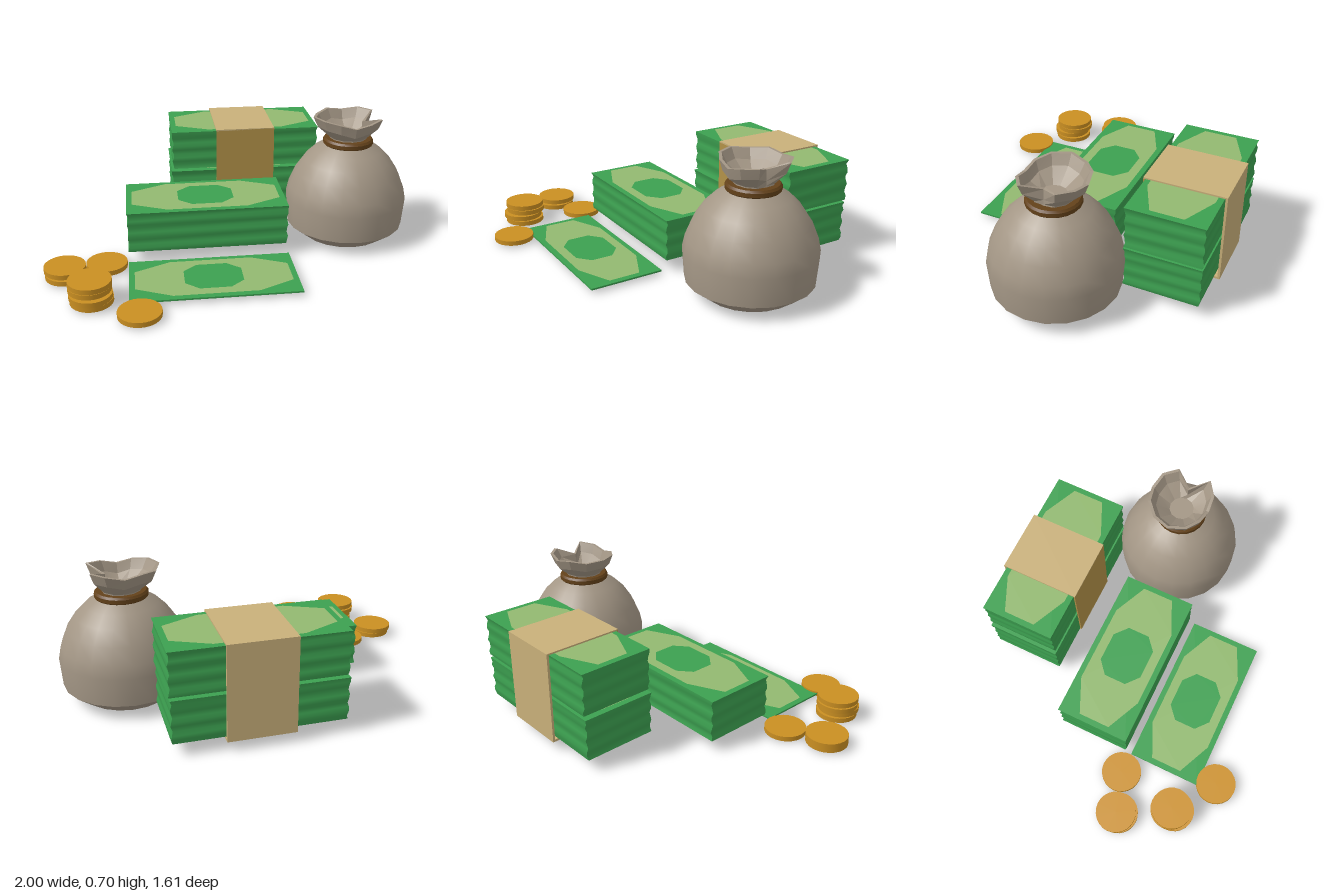
import * as THREE from 'three';
import { toCreasedNormals } from 'three/addons/utils/BufferGeometryUtils.js';

const mat = (name, color, side = THREE.FrontSide) => {
  const m = new THREE.MeshStandardMaterial({ color, side });
  m.name = name;
  return m;
};

// Skin a list of closed rings (each a list of [x, y, z]), ordered bottom to top
function loft(rings, crease, capBottom, capTop) {
  const n = rings[0].length, pos = rings.flat(2), idx = [];
  for (let r = 0; r < rings.length - 1; r++) {
    for (let i = 0; i < n; i++) {
      const a = r * n + i, b = r * n + (i + 1) % n;
      idx.push(a, a + n, b, b, a + n, b + n);
    }
  }
  const last = (rings.length - 1) * n;
  for (let i = 1; i < n - 1; i++) {
    if (capBottom) idx.push(0, i, i + 1);
    if (capTop) idx.push(last, last + i + 1, last + i);
  }
  const g = new THREE.BufferGeometry();
  g.setAttribute('position', new THREE.Float32BufferAttribute(pos, 3));
  g.setIndex(idx);
  return toCreasedNormals(g, crease);
}

// Flat plate facing up: a rectangle with sloped corners
function octagonPlate(hx, hz, ix, iz) {
  const pts = [[hx, iz], [ix, hz], [-ix, hz], [-hx, iz], [-hx, -iz], [-ix, -hz], [ix, -hz], [hx, -iz]];
  return new THREE.ShapeGeometry(new THREE.Shape(pts.map(p => new THREE.Vector2(...p)))).rotateX(-Math.PI / 2);
}

export function createModel() {
  const model = new THREE.Group();
  const green = mat('note green', 0x3ca050);
  const pale = mat('pale note green', 0x92b970);
  const tan = mat('band tan', 0xc9b07a);
  const ochre = mat('band front ochre', 0xb29148);
  const gold = mat('coin gold', 0xca8f22);
  const cloth = mat('sack cloth', 0xa39685, THREE.DoubleSide);
  const brown = mat('tie brown', 0x64421a);

  const add = (parent, name, geometry, material, x = 0, y = 0, z = 0) => {
    const m = new THREE.Mesh(geometry, material);
    m.name = name;
    m.position.set(x, y, z);
    parent.add(m);
    return m;
  };

  // Note or pile of notes: rippled sides, pale panel and centre patch on top
  function notes(name, x, y, z, height, levels, seed) {
    const g = new THREE.Group();
    g.name = name;
    g.position.set(x, y, z);
    const rings = [];
    for (let i = 0; i <= levels; i++) {
      const w = k => (i === levels || levels === 1 ? 0 : 0.005 * (1 + Math.sin(i * 1.9 + seed + k * 1.7)));
      const [r, f, l, b] = [0.43 - w(0), 0.2 - w(1), -0.43 + w(2), -0.2 + w(3)], h = height * i / levels;
      rings.push([[r, h, b], [r, h, f], [l, h, f], [l, h, b]]);
    }
    add(g, 'paper', loft(rings, 0.9, true, true), green);
    add(g, 'palePanel', octagonPlate(0.4, 0.17, 0.215, 0.085), pale, 0, height + 0.002);
    add(g, 'centrePatch', octagonPlate(0.15, 0.12, 0.08, 0.06), green, 0, height + 0.004);
    model.add(g);
  }
  notes('looseNote', -0.14, 0.021, 0.4, 0.009, 1, 0);
  notes('frontStack', -0.14, 0.07, -0.03, 0.225, 10, 1);
  notes('lowerBackStack', 0.128, 0.07, -0.587, 0.225, 10, 2.5);
  notes('upperBackStack', 0.134, 0.31, -0.59, 0.225, 10, 4);

  // Paper band around the two back stacks
  const band = new THREE.Group();
  band.name = 'paperBand';
  model.add(band);
  const slab = (name, h, d, y, z, m) => add(band, name, new THREE.BoxGeometry(0.34, h, d), m, 0.132, y, z);
  slab('bandTop', 0.008, 0.425, 0.541, -0.5925, tan);
  slab('bandBottom', 0.012, 0.425, 0.061, -0.5925, tan);
  slab('bandBack', 0.49, 0.012, 0.3, -0.799, tan);
  slab('bandFront', 0.482, 0.008, 0.3, -0.384, ochre);

  // Coins: piles given as [x, z] of each coin from the bottom up
  const coin = new THREE.CylinderGeometry(0.108, 0.108, 0.026, 24);
  const piles = {
    pairCoin: [[-0.89, 0.275], [-0.895, 0.265]],
    singleCoin: [[-0.683, 0.195]],
    stackCoin: [[-0.75, 0.535], [-0.753, 0.545], [-0.757, 0.525], [-0.755, 0.53]],
    frontCoin: [[-0.52, 0.692]],
  };
  for (const [name, coins] of Object.entries(piles)) {
    coins.forEach(([x, z], i) => add(model, name, coin, gold, x, 0.026 + i * 0.031, z));
  }

  // Sack: round body, tie and a crumpled open mouth
  const sack = new THREE.Group();
  sack.name = 'sack';
  sack.position.set(0.662, 0, -0.083);
  model.add(sack);
  const lathe = (pts, crease) => toCreasedNormals(
    new THREE.LatheGeometry(pts.map(p => new THREE.Vector2(...p)), 20), crease);
  add(sack, 'sackBody', lathe([[0, 0.002], [0.235, 0.014], [0.325, 0.085], [0.336, 0.235], [0.322, 0.3],
    [0.287, 0.385], [0.24, 0.455], [0.185, 0.51], [0.12, 0.55]], 0.6), cloth);
  add(sack, 'sackTie', lathe([[0.09, 0.538], [0.128, 0.538], [0.137, 0.548], [0.137, 0.568],
    [0.128, 0.579], [0.09, 0.579]], 0.5), brown);

  const rimR = [0.09, 0.185, 0.17, 0.155, 0.165, 0.185, 0.2, 0.19, 0.185, 0.18, 0.185, 0.18];
  const rimY = [0.665, 0.7, 0.69, 0.67, 0.69, 0.7, 0.7, 0.69, 0.7, 0.685, 0.7, 0.7];
  const ring = (radius, height) => rimR.map((r, i) => {
    const a = i * Math.PI / 6, d = radius(r);
    return [d * Math.cos(a), height(rimY[i]), d * Math.sin(a)];
  });
  add(sack, 'sackMouth', loft([
    ring(() => 0.1, () => 0.56),
    ring(r => 0.085 + r * 0.1, () => 0.585),
    ring(r => 0.03 + r * 0.72, y => y - 0.055),
    ring(r => r, y => y),
    ring(r => r - 0.016, y => y),
    ring(r => 0.015 + r * 0.68, y => y - 0.05),
    ring(() => 0.066, () => 0.59),
  ], 0.2, false, true), cloth);
  return model;
}
